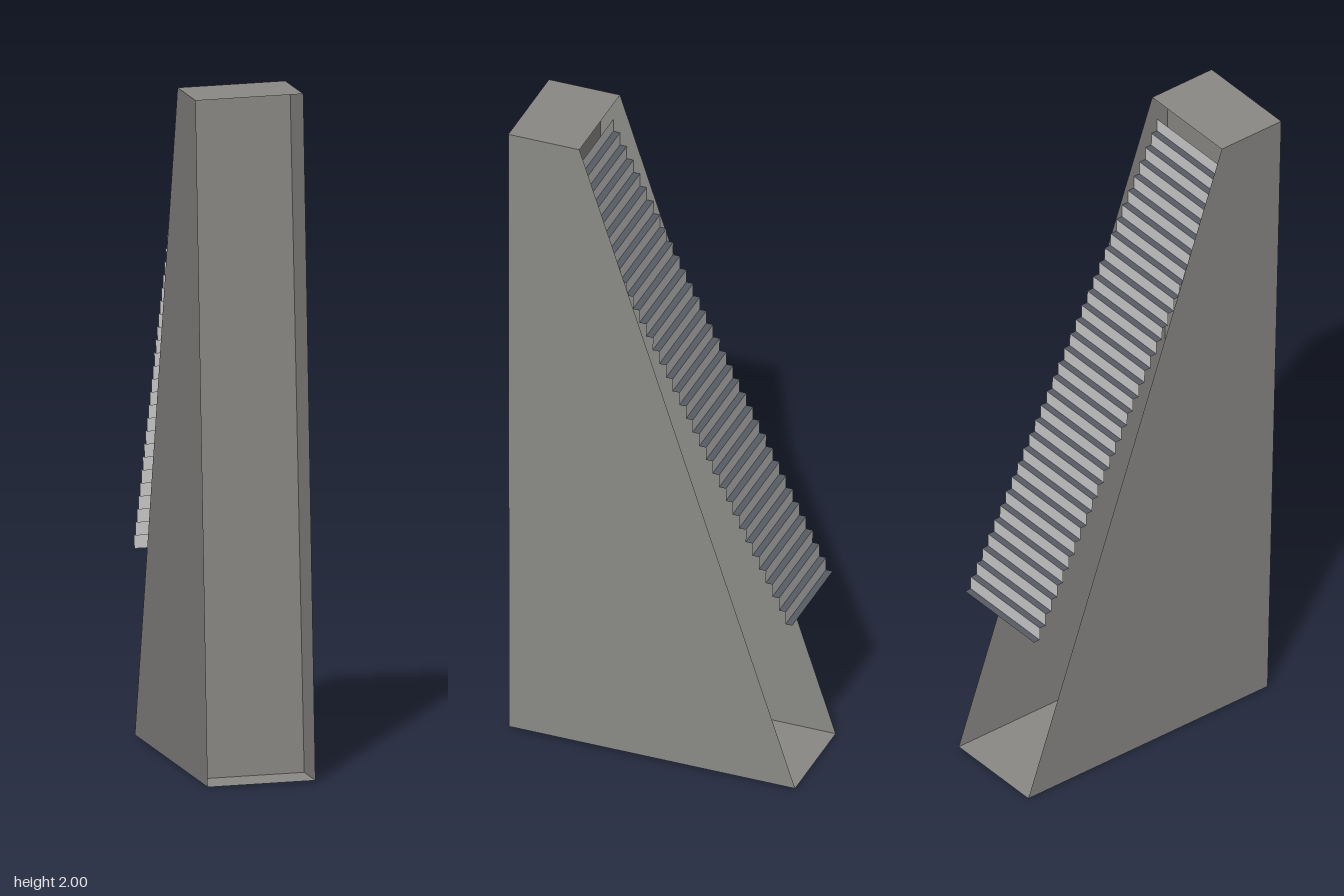
import * as THREE from 'three';

const HALF = 0.158, HEIGHT = 1.994;
const STEPS = 33, RUN = 0.0207, RISE = 0.0413;

const mat = (color) => new THREE.MeshStandardMaterial({ color, side: THREE.DoubleSide });

// Flat sheet(s): every four corners form one quad
function sheet(name, corners, material) {
  const index = [];
  for (let i = 0; i < corners.length; i += 4) index.push(i, i + 1, i + 2, i, i + 2, i + 3);
  const g = new THREE.BufferGeometry();
  g.setAttribute('position', new THREE.Float32BufferAttribute(corners.flat(), 3));
  g.setIndex(index);
  g.computeVertexNormals();
  const mesh = new THREE.Mesh(g, material);
  mesh.name = name;
  return mesh;
}

// Quad spanning the width between two (z, y) points
const span = (z0, y0, z1, y1, h = HALF) => [[-h, y0, z0], [h, y0, z0], [h, y1, z1], [-h, y1, z1]];

export function createModel() {
  const model = new THREE.Group();
  const shell = mat(0x8a8986), treadMat = mat(0x585c64), riserMat = mat(0xcccccc);

  // Tapering side walls
  const profile = [[0.43, 0], [-0.447, 0], [0.23, HEIGHT], [0.448, HEIGHT]];
  for (const [name, s] of [['leftWall', 1], ['rightWall', -1]]) {
    const pts = profile.map(([z, y]) => [s * HALF, y, z]);
    model.add(sheet(name, s > 0 ? pts : pts.reverse(), shell));
  }

  // Floor, roof and the recessed upright panel
  model.add(sheet('floor', span(-0.447, 0, 0.43, 0), shell));
  model.add(sheet('roof', span(0.448, HEIGHT, 0.23, HEIGHT), shell));
  model.add(sheet('recessedPanel', span(0.295, 0, 0.288, HEIGHT), shell));

  // Thin folded staircase climbing from the back towards the front
  const treads = [], risers = [];
  for (let i = 0; i < STEPS; i++) {
    const z = -0.434 + i * RUN, y = 0.546 + i * RISE;
    treads.push(...span(z + RUN, y, z, y, HALF - 0.001));
    risers.push(...span(z + RUN, y + RISE, z + RUN, y, HALF - 0.001));
  }
  const stairs = new THREE.Group();
  stairs.name = 'staircase';
  stairs.add(sheet('treads', treads, treadMat), sheet('risers', risers, riserMat));
  model.add(stairs);

  // Slight sideways lean
  model.rotation.z = 0.02;
  model.position.set(0.0185, 0.0032, 0);
  const group = new THREE.Group();
  model.name = 'stairTower';
  group.add(model);
  return group;
}
